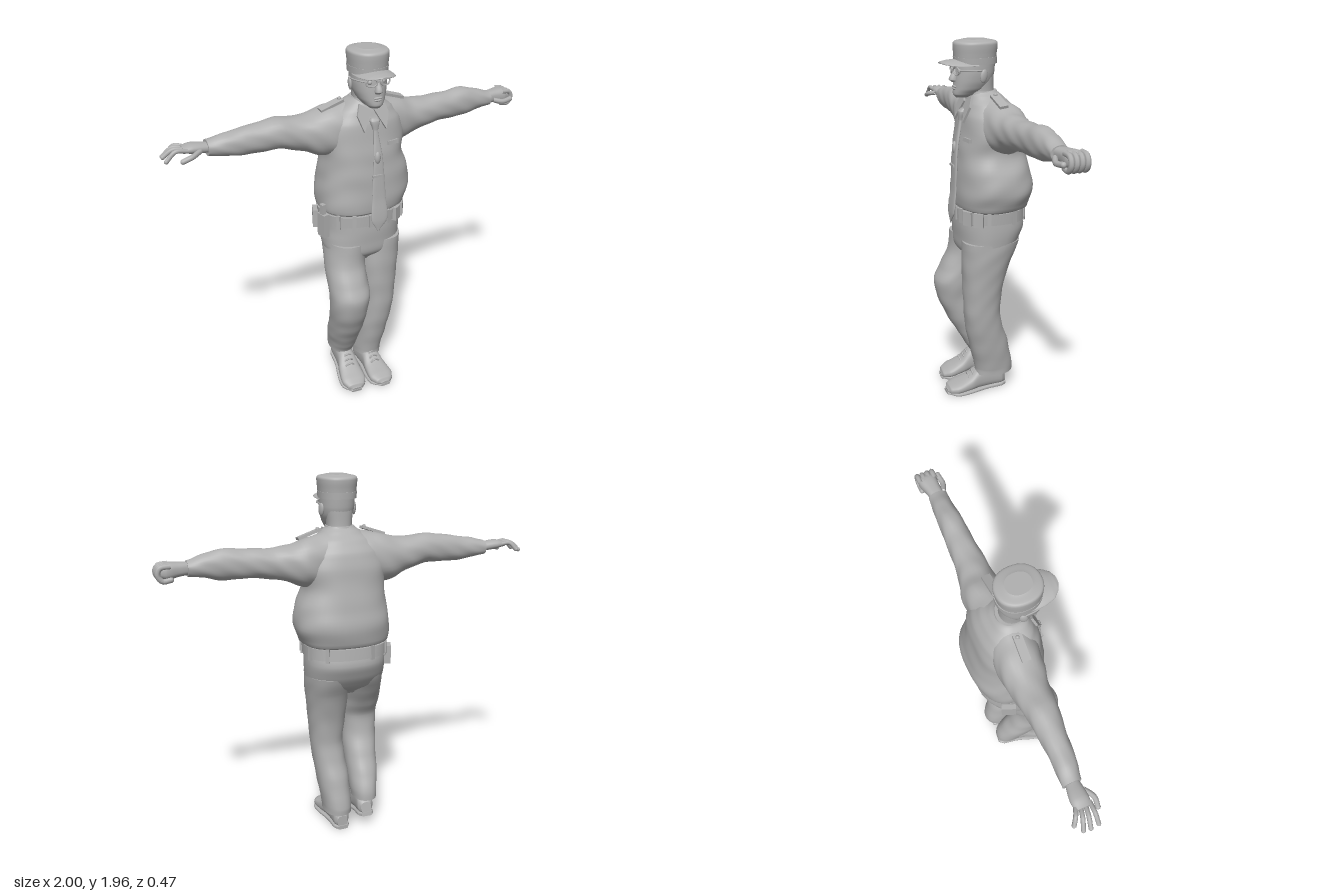
import * as THREE from 'three';

const grey = new THREE.MeshStandardMaterial({ color: 0xb0b0b0 });
grey.name = 'plain grey';
const V = (x, y, z) => new THREE.Vector3(x, y, z);

// Smooth closed loft. Each section is [w, uMin, uMax, vMin, vMax], with w rising.
// Axis y: w=y u=x v=z.  Axis x: w=x u=z v=y.  Axis z: w=z u=y v=x.
function loft(axis, rows, { n = 2.2, seg = 32, sub = 5, fold = 0 } = {}) {
  const pos = [], idx = [], count = (rows.length - 1) * sub + 1;
  const put = (u, w, v) =>
    pos.push(...(axis === 'y' ? [u, w, v] : axis === 'x' ? [w, v, u] : [v, u, w]));
  const at = (t) => {
    const i = Math.min(Math.floor(t), rows.length - 2), f = t - i;
    const a = rows[Math.max(i - 1, 0)], b = rows[i], c = rows[i + 1], d = rows[Math.min(i + 2, rows.length - 1)];
    return b.map((q, k) => {
      if (k === 0) return q + (c[0] - q) * f;
      const m0 = (c[k] - a[k]) * 0.4, m1 = (d[k] - q) * 0.4, f2 = f * f, f3 = f2 * f;
      return (2 * f3 - 3 * f2 + 1) * q + (f3 - 2 * f2 + f) * m0 + (3 * f2 - 2 * f3) * c[k] + (f3 - f2) * m1;
    });
  };
  const bend = (x) => Math.sign(x) * Math.abs(x) ** (2 / n);
  for (let i = 0; i < count; i++) {
    const [w, u0, u1, v0, v1] = at(i / sub);
    for (let j = 0; j < seg; j++) {
      const a = (j / seg) * Math.PI * 2;
      // Soft cloth folds
      const k = 1 + fold * Math.sin(w * 38 + 2 * Math.sin(a * 2)) * Math.sin(a * 3 + w * 9);
      put((u0 + u1) / 2 + ((u1 - u0) / 2) * bend(Math.cos(a)) * k, w,
        (v0 + v1) / 2 + ((v1 - v0) / 2) * bend(Math.sin(a)) * k);
    }
  }
  for (let i = 0; i < count - 1; i++) for (let j = 0; j < seg; j++) {
    const a = i * seg + j, b = i * seg + ((j + 1) % seg), c = a + seg, d = b + seg;
    idx.push(a, c, b, b, c, d);
  }
  // End caps with their own rims, so the edges stay crisp
  for (const top of [0, 1]) {
    const base = pos.length / 3, from = top ? (count - 1) * seg : 0, r = rows[top ? rows.length - 1 : 0];
    for (let j = 0; j < seg; j++) pos.push(...pos.slice((from + j) * 3, (from + j) * 3 + 3));
    put((r[1] + r[2]) / 2, r[0], (r[3] + r[4]) / 2);
    for (let j = 0; j < seg; j++) {
      const a = base + j, b = base + ((j + 1) % seg);
      idx.push(base + seg, ...(top ? [b, a] : [a, b]));
    }
  }
  const g = new THREE.BufferGeometry();
  g.setAttribute('position', new THREE.Float32BufferAttribute(pos, 3));
  g.setIndex(idx);
  g.computeVertexNormals();
  return g;
}

export function createModel() {
  const model = new THREE.Group();
  const add = (name, geo, p = [0, 0, 0], r = [0, 0, 0], parent = model) => {
    const m = new THREE.Mesh(geo, grey);
    m.name = name;
    m.position.set(...p);
    m.rotation.set(...r);
    parent.add(m);
    return m;
  };
  const box = (x, y, z) => new THREE.BoxGeometry(x, y, z);
  const tube = (pts, r) => new THREE.TubeGeometry(new THREE.CatmullRomCurve3(pts), 14, r, 8);
  // Rounded finger: a tube with a ball at its tip
  const finger = (name, pts, r) => {
    add(name, tube(pts, r));
    add(name + 'Tip', new THREE.SphereGeometry(r, 10, 8), pts[pts.length - 1].toArray());
  };

  // Shirt body, bloused over the belt
  add('shirt', loft('y', [
    [1.085, -0.18, 0.23, -0.17, 0.14], [1.11, -0.205, 0.265, -0.215, 0.16], [1.2, -0.205, 0.3, -0.235, 0.162],
    [1.3, -0.195, 0.285, -0.22, 0.158], [1.4, -0.18, 0.25, -0.2, 0.15], [1.5, -0.19, 0.26, -0.185, 0.135],
    [1.58, -0.17, 0.24, -0.165, 0.122], [1.64, -0.12, 0.19, -0.125, 0.102], [1.68, -0.065, 0.135, -0.085, 0.085],
    [1.705, -0.035, 0.105, -0.06, 0.07]], { n: 2.5, seg: 48, fold: 0.012 }));

  // Sleeves
  add('leftSleeve', loft('x', [
    [0.07, -0.12, 0.085, 1.42, 1.685], [0.15, -0.14, 0.09, 1.4, 1.675], [0.25, -0.15, 0.065, 1.41, 1.652],
    [0.33, -0.13, 0.05, 1.44, 1.628], [0.42, -0.115, 0.04, 1.465, 1.62], [0.55, -0.105, 0.03, 1.478, 1.624],
    [0.67, -0.1, 0.022, 1.478, 1.634], [0.76, -0.092, 0.015, 1.497, 1.612], [0.84, -0.085, 0.01, 1.51, 1.588]],
  { fold: 0.035 }));
  add('rightSleeve', loft('x', [
    [-0.78, -0.1, -0.008, 1.51, 1.588], [-0.7, -0.1, 0.01, 1.497, 1.605], [-0.6, -0.1, 0.02, 1.485, 1.622],
    [-0.43, -0.115, 0.04, 1.487, 1.643], [-0.3, -0.13, 0.055, 1.452, 1.632], [-0.2, -0.145, 0.075, 1.41, 1.652],
    [-0.1, -0.14, 0.09, 1.4, 1.675], [0, -0.12, 0.085, 1.42, 1.685]], { fold: 0.035 }));

  // Open right hand
  add('rightPalm', loft('x', [[-0.9, -0.095, -0.015, 1.545, 1.578], [-0.85, -0.1, -0.012, 1.535, 1.585],
    [-0.76, -0.085, -0.02, 1.525, 1.575]]));
  [[-0.125, -0.95], [-0.095, -0.985], [-0.062, -0.99], [-0.02, -0.985]].forEach(([z, x], i) => {
    const z0 = -0.086 + i * 0.022;
    finger('rightFinger', [V(-0.88, 1.562, z0), V((x - 0.89) / 2, 1.568, (z + z0) / 2), V(x, 1.535 - (i % 2) * 0.008, z)], 0.011);
  });
  finger('rightThumb', [V(-0.82, 1.55, -0.02), V(-0.87, 1.54, 0.012), V(-0.915, 1.525, 0.01)], 0.013);

  // Closed left fist
  add('leftFist', loft('x', [[0.81, -0.07, 0, 1.52, 1.58], [0.88, -0.085, -0.005, 1.515, 1.585],
    [0.94, -0.1, -0.003, 1.505, 1.588], [0.975, -0.09, -0.012, 1.515, 1.575]], { n: 2.6 }));
  for (let i = 0; i < 4; i++) {
    const z = -0.092 + i * 0.026;
    finger('leftFinger', [V(0.925, 1.575, z), V(0.975, 1.568, z), V(0.987, 1.535, z), V(0.965, 1.505, z), V(0.925, 1.51, z)], 0.0135);
  }
  finger('leftThumb', [V(0.86, 1.54, 0), V(0.91, 1.53, 0.018), V(0.965, 1.535, 0.012)], 0.014);

  // Trousers: hips, straight left leg, bent right leg
  add('hips', loft('y', [[0.8, -0.1, 0.13, -0.06, 0.09], [0.86, -0.185, 0.22, -0.135, 0.145],
    [0.93, -0.195, 0.237, -0.18, 0.152], [1.0, -0.192, 0.242, -0.205, 0.155], [1.1, -0.195, 0.24, -0.185, 0.15]], { n: 2.4, seg: 40 }));
  add('leftTrouserLeg', loft('y', [[0.105, 0.002, 0.155, -0.15, 0.065], [0.15, 0, 0.158, -0.148, 0.07],
    [0.3, 0.003, 0.178, -0.115, 0.105], [0.42, 0.012, 0.19, -0.075, 0.13], [0.52, 0.02, 0.2, -0.06, 0.14],
    [0.65, 0.005, 0.21, -0.075, 0.145], [0.8, 0.0, 0.227, -0.115, 0.15], [0.92, 0.005, 0.235, -0.165, 0.15]], { fold: 0.015 }));
  add('rightTrouserLeg', loft('y', [[0.165, -0.15, -0.018, -0.14, 0.04], [0.22, -0.158, -0.012, -0.135, 0.07],
    [0.3, -0.175, -0.01, -0.1, 0.115], [0.4, -0.19, -0.01, -0.05, 0.17], [0.52, -0.207, -0.01, 0, 0.22],
    [0.62, -0.215, 0, 0.01, 0.237], [0.7, -0.213, 0.003, -0.03, 0.205], [0.8, -0.202, 0.01, -0.09, 0.16],
    [0.92, -0.19, 0.03, -0.155, 0.15]], { fold: 0.015 }));

  // Shoes: the right heel is lifted
  for (const side of ['left', 'right']) {
    const right = side === 'right', shoe = new THREE.Group();
    shoe.name = side + 'Shoe';
    shoe.position.set(right ? -0.085 : 0.066, right ? 0.045 : 0, right ? -0.02 : 0);
    shoe.rotation.set(right ? 0.17 : 0, right ? -0.1 : 0, 0);
    add('upper', loft('z', [[-0.11, 0.015, 0.08, -0.03, 0.03], [-0.085, 0.008, 0.125, -0.045, 0.045],
      [-0.02, 0.008, 0.145, -0.048, 0.048], [0.045, 0.008, 0.135, -0.052, 0.052], [0.11, 0.008, 0.088, -0.064, 0.064],
      [0.18, 0.008, 0.065, -0.07, 0.07], [0.222, 0.01, 0.05, -0.05, 0.05], [0.235, 0.015, 0.03, -0.025, 0.025]],
    { n: 2.6 }), [0, 0, 0], [0, 0, 0], shoe);
    add('sole', loft('z', [[-0.115, 0, 0.022, -0.03, 0.03], [-0.085, 0, 0.024, -0.047, 0.047], [0, 0, 0.022, -0.05, 0.05],
      [0.13, 0, 0.02, -0.072, 0.072], [0.19, 0, 0.02, -0.07, 0.07], [0.238, 0.004, 0.018, -0.03, 0.03]], { n: 4 }), [0, 0, 0], [0, 0, 0], shoe);
    for (let i = 0; i < 3; i++) {
      const z = 0.055 + i * 0.024, y = 0.128 - i * 0.014;
      add('lace', tube([V(-0.036, y - 0.025, z), V(0, y + 0.005, z + 0.008), V(0.036, y - 0.025, z)], 0.005), [0, 0, 0], [0, 0, 0], shoe);
    }
    model.add(shoe);
  }

  // Belt with keepers and pouches
  add('belt', loft('y', [[1.035, -0.2, 0.247, -0.208, 0.163], [1.095, -0.203, 0.25, -0.202, 0.163]], { n: 2.4, seg: 40, sub: 1 }));
  const beltItem = (name, a, geo, y, out = 0) => add(name, geo,
    [0.024 + (0.225 + out) * Math.sign(Math.sin(a)) * Math.abs(Math.sin(a)) ** 0.83, y,
      -0.021 + (0.183 + out) * Math.sign(Math.cos(a)) * Math.abs(Math.cos(a)) ** 0.83], [0, a, 0]);
  for (const a of [-0.9, -0.45, 0.3, 1.25, 1.9, 2.5, 3.5, 4.1]) beltItem('beltKeeper', a, box(0.02, 0.078, 0.014), 1.065);
  for (const a of [0.6, 0.95]) beltItem('beltPouch', a, box(0.05, 0.075, 0.03), 1.065);
  beltItem('buckle', 0, box(0.07, 0.07, 0.015), 1.065);
  beltItem('rearPouch', -1.95, box(0.075, 0.1, 0.035), 1.02, 0.008);
  beltItem('holster', -1.4, box(0.06, 0.13, 0.035), 1.03, 0.012);
  beltItem('holsterGrip', -1.4, box(0.028, 0.07, 0.022), 1.115, 0.015);

  // Collar, tie and small fittings
  add('collarStand', loft('y', [[1.65, -0.05, 0.12, -0.08, 0.095], [1.705, -0.035, 0.107, -0.063, 0.085]], { sub: 2 }));
  for (const s of [-1, 1]) {
    const flap = new THREE.Shape([[0.008, 0.06], [0.068, 0.1], [0.088, 0.04], [0.062, -0.045]].map(([x, y]) => new THREE.Vector2(x * s, y)));
    add('collarFlap', new THREE.ExtrudeGeometry(flap, { depth: 0.012, bevelEnabled: false }), [0.035, 1.592, 0.115], [-0.34, 0, 0]);
  }
  add('tie', loft('y', [[1.008, 0.026, 0.036, 0.183, 0.19], [1.075, -0.008, 0.086, 0.178, 0.192], [1.2, 0.001, 0.08, 0.164, 0.178],
    [1.4, 0.013, 0.068, 0.15, 0.166], [1.575, 0.028, 0.05, 0.118, 0.137]], { n: 2.6, seg: 20 }));
  add('tieKnot', loft('y', [[1.555, 0.023, 0.053, 0.11, 0.14], [1.6, 0.012, 0.064, 0.1, 0.14], [1.615, 0.018, 0.058, 0.09, 0.128]], { n: 3, seg: 16 }));
  add('tieClip', box(0.055, 0.012, 0.012), [0.03, 1.32, 0.172]);
  add('tiePin', new THREE.SphereGeometry(0.022, 12, 8), [0.035, 1.415, 0.162]).scale.set(0.8, 1.5, 0.6);
  add('chestBar', box(0.066, 0.02, 0.016), [0.14, 1.472, 0.13], [-0.1, 0.15, 0]);
  for (const s of [-1, 1]) {
    add('epaulette', box(0.13, 0.014, 0.045), [0.036 + s * 0.175, 1.672, -0.012], [0.12, 0, -s * 0.32]);
    add('epauletteButton', new THREE.SphereGeometry(0.01, 10, 8), [0.036 + s * 0.128, 1.696, -0.012]);
  }

  // Neck, head and face
  add('neck', loft('y', [[1.62, -0.04, 0.11, -0.06, 0.08], [1.7, -0.03, 0.1, -0.047, 0.085], [1.79, -0.038, 0.108, -0.046, 0.08]]));
  add('head', loft('y', [[1.674, 0.008, 0.062, 0.09, 0.152], [1.69, -0.012, 0.082, 0.035, 0.165], [1.72, -0.033, 0.103, -0.01, 0.163],
    [1.76, -0.047, 0.117, -0.04, 0.16], [1.8, -0.053, 0.123, -0.05, 0.156], [1.88, -0.055, 0.125, -0.055, 0.15]]));
  add('nose', loft('y', [[1.752, 0.018, 0.052, 0.14, 0.172], [1.765, 0.015, 0.055, 0.14, 0.188], [1.815, 0.026, 0.044, 0.14, 0.164]], { seg: 14 }));
  add('upperLip', new THREE.SphereGeometry(0.01, 12, 8), [0.035, 1.73, 0.16]).scale.set(2.6, 0.6, 0.9);
  add('lowerLip', new THREE.SphereGeometry(0.01, 12, 8), [0.035, 1.718, 0.159]).scale.set(2.2, 0.7, 0.9);
  for (const s of [-1, 1]) {
    add('ear', new THREE.SphereGeometry(0.03, 14, 10), [0.035 + s * 0.09, 1.785, 0.035], [-0.15, s * 0.25, 0]).scale.set(0.35, 1.15, 0.7);
    add('eye', new THREE.SphereGeometry(0.013, 12, 8), [0.035 + s * 0.037, 1.808, 0.141]);
    add('glassesRim', new THREE.TorusGeometry(0.026, 0.004, 8, 24), [0.035 + s * 0.038, 1.81, 0.162], [0, s * 0.22, 0]).scale.set(1.1, 0.75, 1);
    add('glassesArm', tube([V(0.035 + s * 0.066, 1.816, 0.155), V(0.035 + s * 0.088, 1.816, 0.11), V(0.035 + s * 0.093, 1.81, 0.03)], 0.004));
  }
  add('glassesBridge', box(0.022, 0.006, 0.006), [0.035, 1.815, 0.168]);

  // Cap: band, crown and curved peak
  add('capCrown', loft('y', [[1.845, -0.058, 0.128, -0.058, 0.154], [1.88, -0.062, 0.132, -0.06, 0.157], [1.935, -0.066, 0.137, -0.066, 0.16],
    [1.95, -0.06, 0.131, -0.058, 0.152], [1.96, -0.02, 0.09, -0.015, 0.11]], { seg: 40 }));
  add('capBand', loft('y', [[1.842, -0.062, 0.132, -0.063, 0.157], [1.875, -0.064, 0.134, -0.064, 0.159]], { seg: 40, sub: 1 }));
  const peak = loft('z', [[0.06, 1.853, 1.865, -0.06, 0.13], [0.13, 1.853, 1.866, -0.06, 0.13], [0.19, 1.85, 1.862, -0.045, 0.115],
    [0.222, 1.846, 1.857, -0.015, 0.085], [0.236, 1.845, 1.853, 0.015, 0.055]], { n: 2.6 });
  const p = peak.attributes.position;
  for (let i = 0; i < p.count; i++) p.setY(i, p.getY(i) - 2.6 * (p.getX(i) - 0.035) ** 2);
  peak.computeVertexNormals();
  add('capPeak', peak);

  return model;
}
